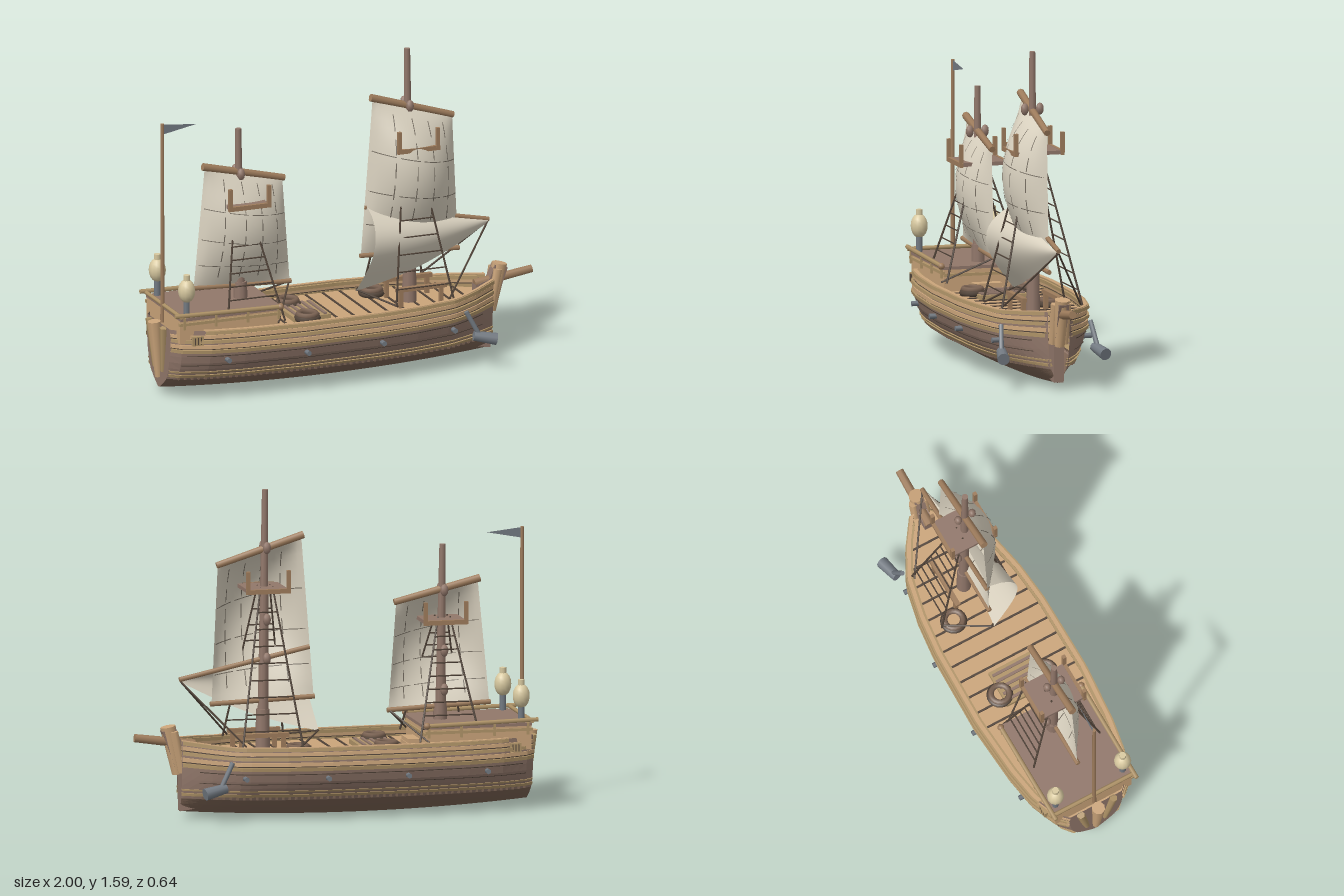
import * as THREE from 'three';

const mat = (name, color, side = THREE.FrontSide) => {
  const m = new THREE.MeshStandardMaterial({ color, side });
  m.name = name;
  return m;
};
const V = (x, y, z) => new THREE.Vector3(x, y, z);

export function createModel() {
  const D = THREE.DoubleSide;
  const brown = mat('hull brown', 0x91776a, D), dark = mat('dark hull brown', 0x7b6353, D);
  const tan = mat('deck tan', 0xcaa47a, D), trim = mat('trim wood', 0xb09468, D);
  const spar = mat('spar wood', 0x9e7c5c), sailCloth = mat('sail cloth', 0xd8d0be, D);
  const rope = mat('dark rope', 0x53453a, D), metal = mat('grey metal', 0x737a82, D);
  const glow = mat('lantern cream', 0xd8c9a0), stitch = mat('stitch grey', 0x746c60, D);
  const model = new THREE.Group();
  model.name = 'sailingShip';

  const add = (name, geo, m, x = 0, y = 0, z = 0) => {
    const o = new THREE.Mesh(geo, m);
    o.name = name;
    o.position.set(x, y, z);
    model.add(o);
    return o;
  };
  const box = (name, m, w, h, d, x, y, z) => add(name, new THREE.BoxGeometry(w, h, d), m, x, y, z);
  const rod = (name, m, a, b, r0, r1 = r0, seg = 8) => {
    const d = b.clone().sub(a);
    const o = add(name, new THREE.CylinderGeometry(r1, r0, d.length(), seg), m);
    o.position.copy(a).addScaledVector(d, 0.5);
    o.quaternion.setFromUnitVectors(V(0, 1, 0), d.normalize());
    return o;
  };
  // Surface grid from a rule f(u, v) -> Vector3
  const grid = (f, nu, nv, flat) => {
    const pos = [], idx = [];
    for (let i = 0; i <= nu; i++) for (let j = 0; j <= nv; j++) pos.push(...f(i / nu, j / nv).toArray());
    for (let i = 0; i < nu; i++) for (let j = 0; j < nv; j++) {
      const a = i * (nv + 1) + j, b = a + nv + 1;
      idx.push(a, a + 1, b, b, a + 1, b + 1);
    }
    let g = new THREE.BufferGeometry();
    g.setAttribute('position', new THREE.Float32BufferAttribute(pos, 3));
    g.setIndex(idx);
    if (flat) g = g.toNonIndexed();
    g.computeVertexNormals();
    return g;
  };

  // Hull shape: half width along x, fullness along y
  const interp = (pts, t) => {
    let i = 0;
    while (i < pts.length - 2 && t > pts[i + 1][0]) i++;
    const [a, b] = [pts[i], pts[i + 1]];
    return a[1] + (b[1] - a[1]) * Math.min(1, Math.max(0, (t - a[0]) / (b[0] - a[0])));
  };
  const widths = [[-0.95, 0.14], [-0.9, 0.195], [-0.77, 0.248], [-0.6, 0.277], [-0.3, 0.3], [0.1, 0.294],
    [0.3, 0.273], [0.5, 0.23], [0.65, 0.148], [0.78, 0.052]];
  const fullness = [[0, 0.02], [0.025, 0.22], [0.06, 0.47], [0.1, 0.69], [0.15, 0.84], [0.21, 0.95], [0.28, 1], [0.38, 0.96]];
  const X0 = -0.945, X1 = 0.775;
  const hullPoint = (x, y, side, off = 0) => {
    const keel = 0.035 * ((x + 0.08) / 0.86) ** 2 * Math.max(0, 1 - y / 0.12);
    const sheer = y > 0.2 ? 0.02 * Math.max(0, (x - 0.55) / 0.23) * (y - 0.2) / 0.16 : 0;
    return V(x, y + keel + sheer, side * (interp(widths, x) * interp(fullness, y) + off));
  };
  const lerp = (a, b, t) => a + (b - a) * t;
  const shell = (name, m, y0, y1, n, side) =>
    add(name, grid((u, v) => hullPoint(lerp(X0, X1, u), lerp(y0, y1, v), side), 40, n, true), m);
  const band = (name, m, y0, y1, t, side, x0 = X0, x1 = X1) => {
    const c = [[y0, -0.01], [y0, t], [y1, t], [y1, -0.01], [y0, -0.01]];
    add(name, grid((u, v) => {
      const [y, off] = c[Math.round(v * 4)];
      return hullPoint(lerp(x0, x1, u), y, side, off);
    }, 40, 4, true), m);
  };

  for (const s of [1, -1]) {
    shell('lowerHull', dark, 0.005, 0.1, 8, s);
    shell('upperHull', brown, 0.1, 0.365, 8, s);
    band('lowerWale', trim, 0.12, 0.134, 0.012, s);
    band('middleWale', trim, 0.145, 0.153, 0.008, s);
    band('plankSeam', rope, 0.235, 0.239, 0.003, s, -0.88, 0.7);
    band('plankSeam', rope, 0.185, 0.188, 0.003, s, -0.9, 0.7);
    band('upperWale', trim, 0.255, 0.272, 0.014, s);
    band('waleShadow', rope, 0.273, 0.277, 0.004, s);
    band('upperPlanks', tan, 0.278, 0.296, 0.008, s);
    band('sheerWale', trim, 0.307, 0.322, 0.016, s);
    band('strakeShadow', rope, 0.323, 0.327, 0.004, s);
    band('bulwark', tan, 0.328, 0.345, 0.006, s);
    band('gunwale', trim, 0.351, 0.367, 0.018, s, -0.8);
    band('gunwaleCap', tan, 0.366, 0.37, 0.01, s, -0.8);
    band('innerRail', trim, 0.345, 0.362, -0.022, s, -0.8, 0.74);
    // Dentils under the lower wale
    for (let i = 0; i < 52; i++) {
      const p = hullPoint(-0.9 + i * 0.031, 0.112, s, 0.002);
      box('dentil', dark, 0.01, 0.014, 0.014, p.x, p.y, p.z);
    }
    // Side bolts
    for (const x of [-0.69, -0.29, 0.105, 0.5]) {
      const p = hullPoint(x, 0.217, s);
      rod('sideBolt', metal, V(x, p.y, p.z - s * 0.01), V(x, p.y, p.z + s * 0.032), 0.013, 0.013, 6);
    }
    // Bow guns hanging on the sides
    rod('gunArm', metal, V(0.565, 0.30, s * 0.225), V(0.635, 0.165, s * 0.245), 0.012);
    rod('gunBarrel', metal, V(0.6, 0.178, s * 0.235), V(0.71, 0.155, s * 0.258), 0.024, 0.03, 10);
  }

  // Transom and deck follow the hull sections
  add('transom', grid((u, v) => hullPoint(X0, lerp(0.005, 0.365, v), lerp(-1, 1, u)), 1, 12, true), brown);
  const deckY = 0.315;
  add('deck', grid((u, v) => {
    const p = hullPoint(lerp(X0, X1, u), deckY, lerp(-1, 1, v));
    p.y = deckY;
    return p;
  }, 40, 1, true), tan);
  for (let x = -0.33; x < 0.72; x += 0.088)
    box('deckSeam', rope, 0.01, 0.006, 2 * interp(widths, x) - 0.05, x, deckY + 0.002, 0);

  // Stem, stern post and bowsprit
  const stem = new THREE.Shape([[0.7, 0.05], [0.775, 0.04], [0.777, 0.22], [0.8, 0.25], [0.865, 0.43], [0.8, 0.45], [0.77, 0.38], [0.7, 0.36]]
    .map(p => new THREE.Vector2(...p)));
  add('stem', new THREE.ExtrudeGeometry(stem, { depth: 0.05, bevelEnabled: false }), brown, 0, 0, -0.025);
  for (const s of [1, -1]) {
    rod('bowCheek', tan, V(0.77, 0.23, s * 0.03), V(0.81, 0.43, s * 0.03), 0.02, 0.022, 6);
    rod('sternRib', trim, V(-0.94, 0.13, s * 0.05), V(-0.955, 0.36, s * 0.09), 0.016, 0.02, 6);
  }
  rod('bowPost', tan, V(0.785, 0.22, 0), V(0.832, 0.452, 0), 0.026, 0.038, 10);
  rod('bowsprit', spar, V(0.7, 0.36, 0), V(0.998, 0.402, 0), 0.024, 0.02);
  rod('sternPost', tan, V(-0.945, 0.09, 0), V(-0.968, 0.37, 0), 0.018, 0.033, 8);

  // Aft cabin with roof and rail
  box('cabin', tan, 0.52, 0.12, 0.42, -0.66, 0.365, 0);
  box('cabinRoof', brown, 0.53, 0.015, 0.44, -0.655, 0.43, 0);
  box('cabinFrontTrim', trim, 0.012, 0.014, 0.42, -0.397, 0.395, 0);
  for (const y of [0.325, 0.345]) box('cabinStep', tan, 0.2 - 2 * y * 0.2, 0.02, 0.14, -0.375, y, 0);
  for (const s of [1, -1]) {
    box('cabinTrim', trim, 0.53, 0.014, 0.014, -0.66, 0.405, s * 0.213);
    rod('cabinRail', trim, V(-0.95, 0.453, s * 0.222), V(-0.4, 0.44, s * 0.222), 0.011, 0.011, 6);
    for (const x of [-0.9, -0.735, -0.57, -0.41]) box('railPost', trim, 0.012, 0.06, 0.012, x, 0.41, s * 0.218);
    box('sideWindow', trim, 0.055, 0.045, 0.02, -0.835, 0.32, s * 0.228);
    for (const x of [-0.85, -0.835, -0.82]) box('windowBar', rope, 0.004, 0.035, 0.006, x, 0.32, s * 0.237);
    add('railKnob', new THREE.SphereGeometry(0.017, 8, 6), spar, -0.4, 0.44, s * 0.222);
    // Stern lanterns
    const z = s * 0.185;
    rod('lanternStand', metal, V(-0.875, 0.34, z), V(-0.875, 0.525, z), 0.016);
    add('lantern', new THREE.SphereGeometry(0.042, 12, 10), glow, -0.875, 0.565, z).scale.y = 1.4;
    rod('lanternCap', glow, V(-0.875, 0.61, z), V(-0.875, 0.645, z), 0.017);
  }
  rod('aftRail', trim, V(-0.92, 0.447, -0.23), V(-0.92, 0.447, 0.23), 0.011, 0.011, 6);

  // Flagpole and pennant
  rod('flagpole', spar, V(-0.925, 0.36, 0), V(-0.925, 1.36, 0), 0.011, 0.009);
  const pennant = new THREE.Shape([[-0.925, 1.357], [-0.925, 1.305], [-0.75, 1.338]].map(p => new THREE.Vector2(...p)));
  add('pennant', new THREE.ShapeGeometry(pennant), metal);

  // Deck fittings: hatch, rope coils and mast rail
  box('hatch', trim, 0.19, 0.025, 0.24, -0.19, 0.325, 0);
  for (let i = 0; i < 5; i++) box('hatchSlat', brown, 0.014, 0.01, 0.22, -0.26 + i * 0.035, 0.34, 0);
  for (const [x, z] of [[-0.22, 0.122], [-0.22, -0.125], [0.22, -0.135]])
    for (let k = 0; k < 2; k++)
      add('ropeCoil', new THREE.TorusGeometry(0.052 - k * 0.008, 0.014, 6, 18), k ? dark : rope, x, 0.335 + k * 0.018, z).rotation.x = Math.PI / 2;
  for (const s of [1, -1]) {
    box('mastRail', spar, 0.26, 0.02, 0.025, 0.385, 0.405, s * 0.09);
    for (const x of [0.28, 0.49]) box('mastRailPost', spar, 0.02, 0.09, 0.02, x, 0.355, s * 0.09);
  }

  // Sails: four corners in the xy plane, bellied towards +z, with stitched seams
  const sail = (tl, tr, br, bl, belly, peak) => (off) => (u, v) => V(
    lerp(lerp(tl[0], tr[0], u), lerp(bl[0], br[0], u), v),
    lerp(lerp(tl[1], tr[1], u), lerp(bl[1], br[1], u), v),
    off + belly * Math.pow(Math.max(0, Math.sin(Math.PI * u)), 0.7) * Math.sin(Math.PI * Math.pow(v, peak)));
  const sails = {
    mainSail: sail([0.17, 1.35], [0.585, 1.225], [0.615, 0.56], [0.11, 0.58], 0.148, 0.8),
    aftSail: sail([-0.705, 1.105], [-0.3, 1.01], [-0.262, 0.49], [-0.762, 0.51], 0.105, 0.9),
  };
  for (const [name, f] of Object.entries(sails)) {
    add(name, grid(f(0), 20, 20), sailCloth);
    const strip = (u0, u1, v0, v1, off) =>
      add('sailSeam', grid((u, v) => f(off)(lerp(u0, u1, u), lerp(v0, v1, v)), 5, 5), stitch);
    for (const off of [0.004, -0.004]) {
      for (const u of [0.22, 0.44, 0.64, 0.84])
        for (let k = 0; k < 6; k++) strip(u, u + 0.01, 0.06 + k * 0.15, 0.16 + k * 0.15, off);
      for (const v of [0.32, 0.58, 0.8])
        for (let k = 0; k < 4; k++) strip(0.02 + k * 0.25, 0.23 + k * 0.25, v, v + 0.006, off);
    }
  }
  // Lower sail billows most at its free aft edge
  add('lowerSail', grid((u, v) => V(lerp(lerp(0.14, 0.77, u), lerp(0.08, 0.75, u), v),
    lerp(lerp(0.815, 0.675, u), lerp(0.4, 0.655, u) - 0.03 * Math.sin(Math.PI * u), v),
    0.01 + 0.15 * (1 - u) * Math.sin(Math.PI * Math.pow(v, 0.7)) + 0.02 * Math.sin(Math.PI * u)), 20, 16), sailCloth);

  // Yards
  const yards = [[0.16, 1.363, 0.59, 1.228], [0.105, 0.572, 0.622, 0.553], [0.13, 0.815, 0.775, 0.678],
    [-0.715, 1.118, -0.29, 1.015], [-0.768, 0.512, -0.255, 0.49]];
  yards.forEach(([ax, ay, bx, by], i) =>
    rod('yard', spar, V(ax, ay, 0), V(bx, by, 0), i % 3 ? 0.012 : 0.019, i % 3 ? 0.012 : 0.016));

  // Masts with lookout platforms, blocks and rope ladders
  const mast = (x, top, platformY, blockY, ladderTop) => {
    rod('mast', brown, V(x + 0.012, 0.3, 0), V(x, top, 0), 0.028, 0.015, 10);
    rod('mastCollar', brown, V(x + 0.012, 0.3, 0), V(x + 0.012, 0.52, 0), 0.036, 0.032, 10);
    box('lookout', brown, 0.2, 0.018, 0.23, x + 0.012, platformY, 0);
    for (const s of [1, -1]) {
      box('lookoutEdge', spar, 0.22, 0.022, 0.016, x + 0.012, platformY, s * 0.117);
      for (const t of [1, -1]) box('lookoutPost', spar, 0.018, 0.1, 0.018, x + 0.012 + t * 0.1, platformY + 0.05, s * 0.117);
      add('block', new THREE.SphereGeometry(0.02, 8, 6), brown, x, blockY, s * 0.038).scale.y = 1.5;
      // Rope ladder from hull side to masthead
      const foot = e => V(x + 0.01 + e * 0.15, 0.36, s * 0.205), head = e => V(x + e * 0.03, ladderTop, s * 0.03);
      for (const e of [1, -1]) rod('shroud', rope, foot(e), head(e), 0.0055, 0.0045, 5);
      for (let k = 1; k < 9; k++) {
        const t = k / 9.5;
        rod('ratline', rope, foot(-1).lerp(head(-1), t), foot(1).lerp(head(1), t), 0.0035, 0.0035, 4);
      }
    }
    for (const dy of [0.34, 0.15])
      add('backBlock', new THREE.SphereGeometry(0.02, 8, 6), brown, x, platformY - dy, -0.038).scale.y = 1.5;
  };
  mast(0.35, 1.59, 1.11, 1.31, 1.12);
  mast(-0.53, 1.29, 0.925, 1.07, 0.94);

  // Sheets from the sail corners to the deck
  for (const s of [1, -1]) {
    rod('sheet', rope, V(0.77, 0.67, 0), V(0.49, 0.37, s * 0.2), 0.005, 0.005, 5);
    rod('sheet', rope, V(-0.265, 0.49, 0), V(-0.41, 0.36, s * 0.22), 0.005, 0.005, 5);
    rod('sheet', rope, V(0.085, 0.405, 0), V(0.22, 0.36, s * 0.2), 0.005, 0.005, 5);
  }
  return model;
}
